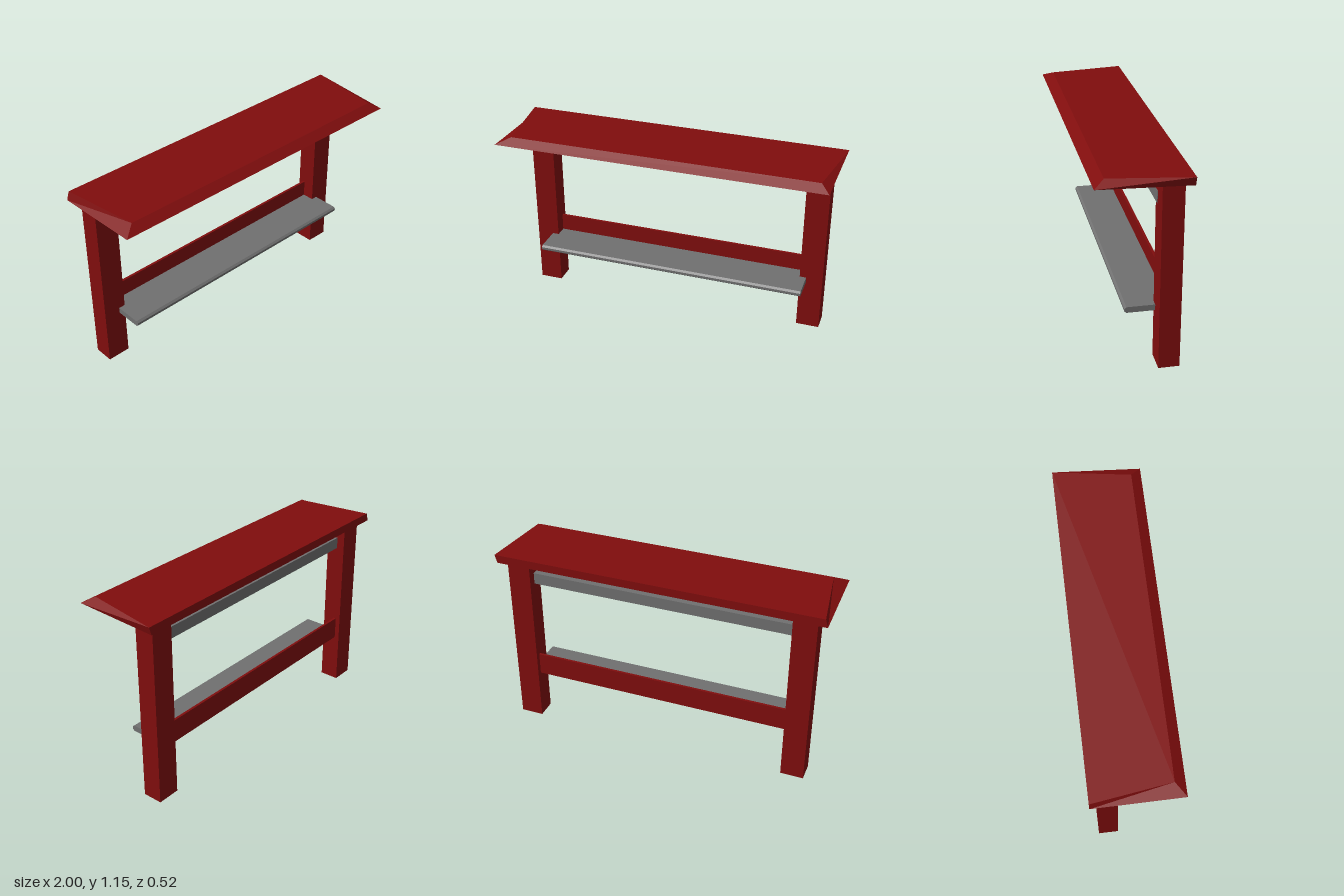
import * as THREE from 'three';

export function createModel() {
  const red = new THREE.MeshStandardMaterial({ name: 'deep red paint', color: 0x800d0d });
  const grey = new THREE.MeshStandardMaterial({ name: 'grey metal', color: 0x707070 });
  red.flatShading = grey.flatShading = true;

  const model = new THREE.Group();
  model.name = 'workbench';

  function add(name, geometry, material) {
    const mesh = new THREE.Mesh(geometry, material);
    mesh.name = name;
    model.add(mesh);
    return mesh;
  }

  // Box given by its extents on each axis
  function block(name, [x0, x1], [y0, y1], [z0, z1], material) {
    const mesh = add(name, new THREE.BoxGeometry(x1 - x0, y1 - y0, z1 - z0), material);
    mesh.position.set((x0 + x1) / 2, (y0 + y1) / 2, (z0 + z1) / 2);
  }

  // Top slab: a box whose upper face narrows toward a bevelled front edge
  const slab = new THREE.BoxGeometry(2, 1, 1).toNonIndexed();
  const p = slab.attributes.position;
  for (let i = 0; i < p.count; i++) {
    const right = p.getX(i) > 0, upper = p.getY(i) > 0, front = p.getZ(i) > 0;
    if (upper) {
      const x = right ? (front ? 0.93 : 1) : (front ? -0.92 : -0.985);
      p.setXYZ(i, x, 1.15, front ? 0.2 : -0.26);
    } else {
      p.setXYZ(i, right ? 0.985 : -1, front ? 1.115 : 1.1, front ? 0.26 : -0.26);
    }
  }
  slab.computeVertexNormals();
  add('topSlab', slab, red);

  // Legs
  block('leftLeg', [0.8, 0.94], [0, 1.105], [-0.22, -0.1], red);
  block('rightLeg', [-0.94, -0.8], [0, 1.105], [-0.22, -0.1], red);

  // Thin back rail and square crossbar between the legs
  block('backRail', [-0.82, 0.82], [0.31, 0.45], [-0.19, -0.175], red);
  block('crossbar', [-0.84, 0.84], [0.95, 1.02], [-0.17, -0.097], grey);

  // Shelf: side profile with a chamfered front edge, extruded along x
  const profile = new THREE.Shape([
    [0.18, 0.31], [0.18, 0.345], [-0.06, 0.345], [-0.072, 0.335], [-0.072, 0.32], [-0.06, 0.31],
  ].map(([x, y]) => new THREE.Vector2(x, y)));
  const shelf = new THREE.ExtrudeGeometry(profile, { depth: 1.68, bevelEnabled: false });
  shelf.translate(0, 0, -0.84).rotateY(Math.PI / 2);
  add('shelf', shelf, grey);

  return model;
}
